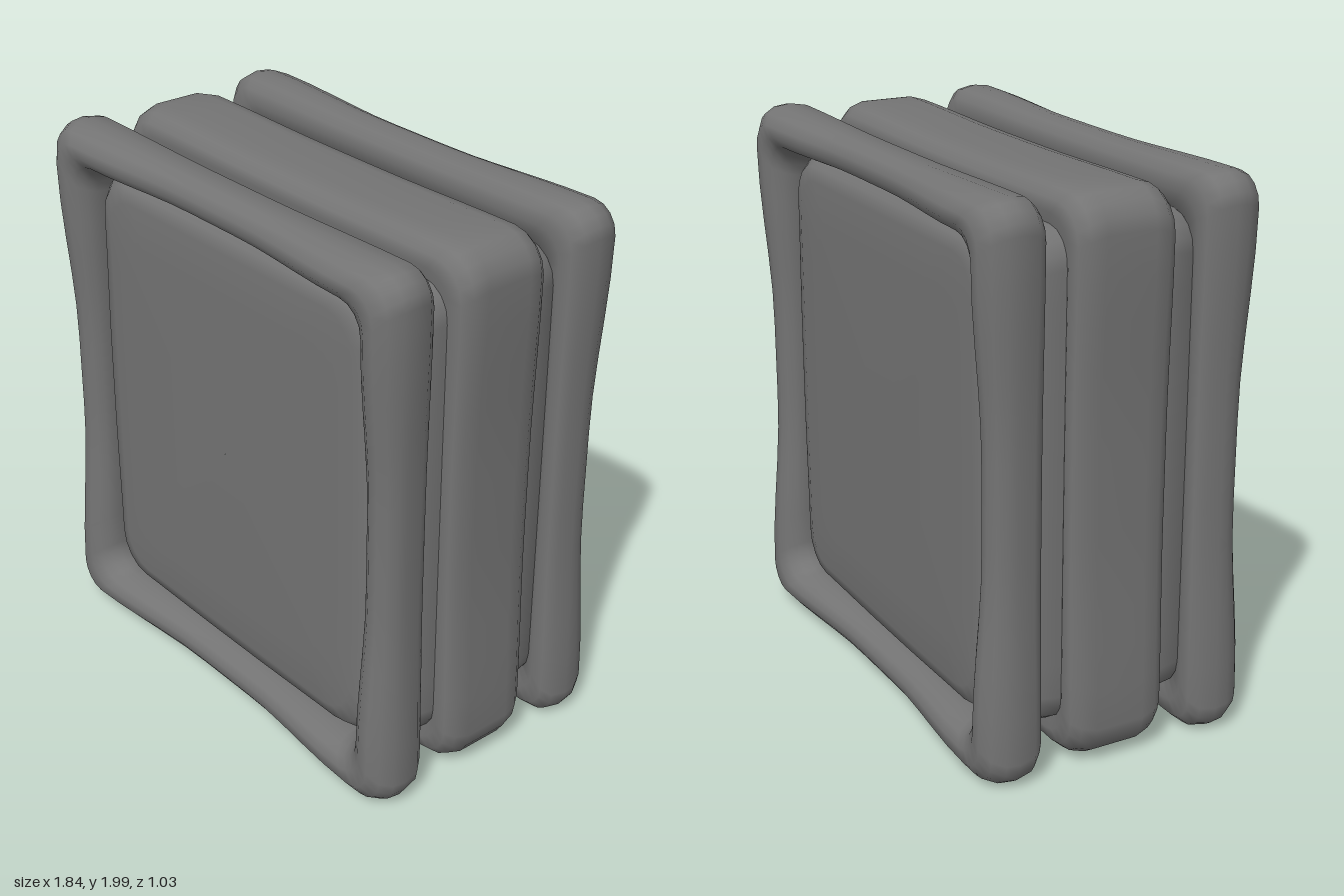
import * as THREE from 'three';

// Points of a rounded rectangle, counter-clockwise; m is 0 at the corners and 1 mid-edge
function roundedLoop(a, b, r) {
  const pts = [], arc = 4, edge = 12;
  const corners = [[1, -1], [1, 1], [-1, 1], [-1, -1]];
  corners.forEach(([sx, sy], c) => {
    const cx = sx * (a - r), cy = sy * (b - r), start = (c - 1) * Math.PI / 2;
    for (let i = 0; i <= arc; i++) {
      const q = start + (i / arc) * Math.PI / 2;
      pts.push({ x: cx + r * Math.cos(q), y: cy + r * Math.sin(q), m: 0 });
    }
    // straight run to the next corner
    const [nx, ny] = corners[(c + 1) % 4];
    const end = start + Math.PI / 2;
    const ox = r * Math.cos(end), oy = r * Math.sin(end);
    for (let i = 1; i < edge; i++) {
      const k = i / edge;
      pts.push({
        x: THREE.MathUtils.lerp(cx, nx * (a - r), k) + ox,
        y: THREE.MathUtils.lerp(cy, ny * (b - r), k) + oy,
        m: THREE.MathUtils.smoothstep(1 - Math.abs(2 * k - 1), 0, 0.8),
      });
    }
  });
  return pts;
}

// Skins rounded rectangles, listed front to back as
// [halfWidth, halfHeight, radius, z, inward bow, backward bow]
function loft(profile, closed) {
  const pos = [], index = [];
  let n = 0;
  for (const [a, b, r, z, bow = 0, zBow = 0] of profile) {
    const loop = roundedLoop(a, b, r);
    n = loop.length;
    for (const { x, y, m } of loop) {
      // the upright edges bow more than the level ones
      pos.push(x * (1 - bow * m), y * (1 - 0.5 * bow * m), z - zBow * m);
    }
  }
  const rows = profile.length;
  for (let i = 0; i < (closed ? rows : rows - 1); i++) {
    for (let j = 0; j < n; j++) {
      const k = (j + 1) % n, i2 = (i + 1) % rows;
      const p = i * n + j, q = i2 * n + j, u = i * n + k, v = i2 * n + k;
      index.push(p, q, u, q, v, u);
    }
  }
  const g = new THREE.BufferGeometry();
  g.setAttribute('position', new THREE.Float32BufferAttribute(pos, 3));
  g.setIndex(index);
  g.computeVertexNormals();
  return g;
}

// Completes a front half profile with its mirror image behind
const mirrorZ = (half) => [
  ...half,
  ...half.map(([a, b, r, z, bow]) => [a, b, r, -z, bow]).reverse(),
];

export function createModel() {
  const group = new THREE.Group();
  const stone = new THREE.MeshStandardMaterial({ color: 0x747474 });
  const add = (name, geometry) => {
    const mesh = new THREE.Mesh(geometry, stone);
    mesh.name = name;
    group.add(mesh);
    return mesh;
  };

  // Core slab with softened front and back panels
  add('coreSlab', loft(mirrorZ([
    [0.001, 0.001, 0.0005, 0.435],
    [0.5, 0.6, 0.1, 0.435],
    [0.66, 0.765, 0.13, 0.43],
    [0.715, 0.81, 0.14, 0.415, -0.012],
    [0.75, 0.84, 0.14, 0.37, -0.012],
    [0.82, 0.85, 0.12, 0.29],
    [0.83, 0.86, 0.12, 0.2],
  ]), false));

  // Middle band around the core, pinched a little at the sides
  add('middleBand', loft(mirrorZ([
    [0.78, 0.82, 0.1, 0.17],
    [0.84, 0.9, 0.11, 0.188, 0.005],
    [0.88, 0.94, 0.12, 0.178, 0.015],
    [0.903, 0.968, 0.13, 0.145, 0.02],
    [0.912, 0.984, 0.13, 0.09, 0.022],
  ]), false));

  // Worn frames, thicker at the corners, front and back
  const frame = loft([
    [0.745, 0.845, 0.1, 0.42, -0.02, 0.01],
    [0.755, 0.855, 0.1, 0.455, -0.015, 0.022],
    [0.775, 0.87, 0.1, 0.49, -0.01, 0.03],
    [0.81, 0.9, 0.1, 0.512, 0, 0.036],
    [0.855, 0.938, 0.1, 0.515, 0.01, 0.038],
    [0.893, 0.972, 0.1, 0.487, 0.02, 0.03],
    [0.916, 0.991, 0.1, 0.44, 0.026, 0.016],
    [0.92, 0.996, 0.1, 0.39, 0.026],
    [0.911, 0.986, 0.1, 0.328, 0.021],
    [0.885, 0.958, 0.1, 0.294, 0.012],
    [0.84, 0.91, 0.1, 0.288],
    [0.75, 0.83, 0.1, 0.3],
  ], true);
  add('frontFrame', frame);
  add('backFrame', frame).rotation.y = Math.PI;

  group.children.forEach((m) => { m.position.y = 1; });
  return group;
}
